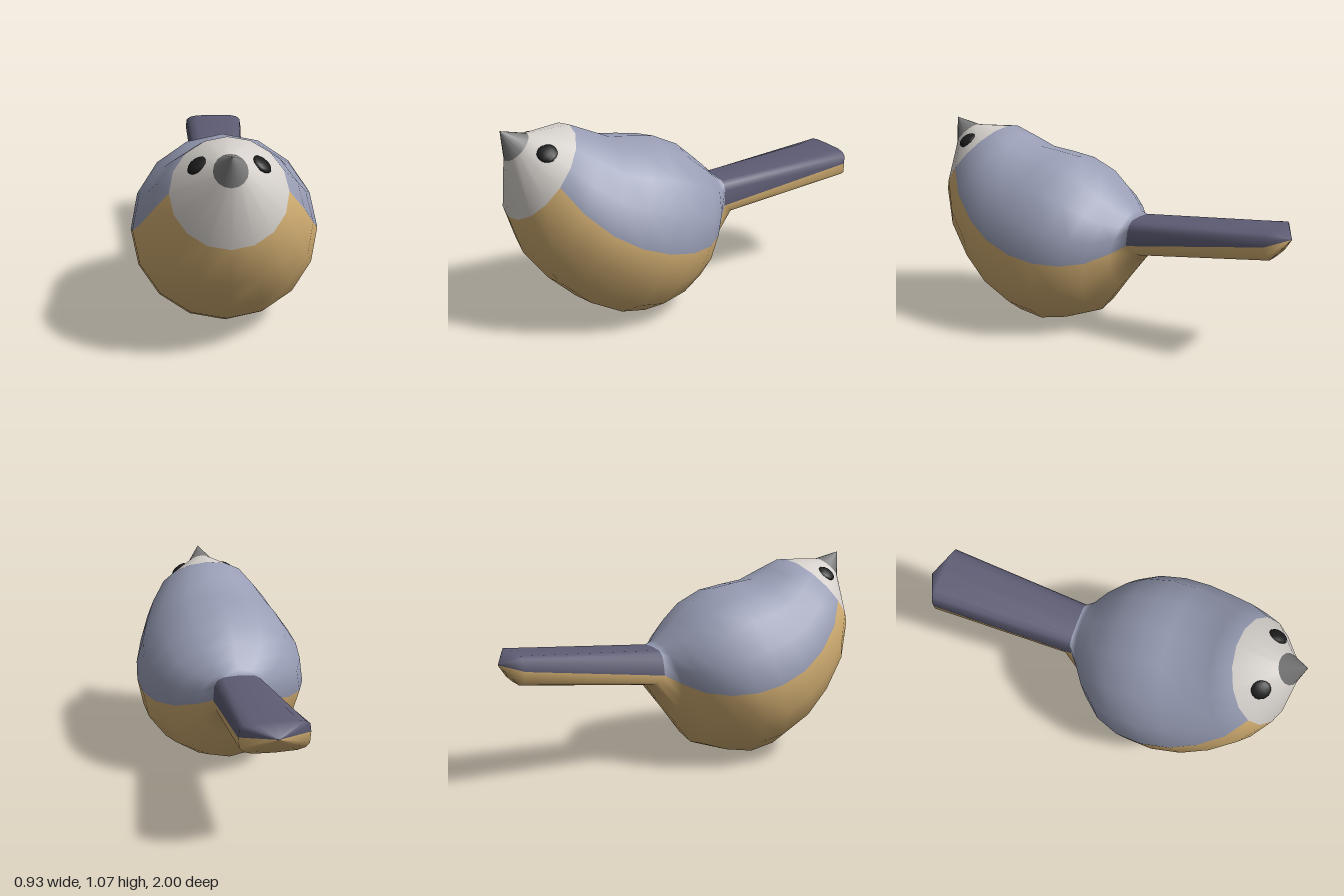
import * as THREE from 'three';

const SIDES = 16;

// Tilted cross-section: [z, y] of its top, side and bottom points, half width,
// and roundness (1 = ellipse, smaller = boxier).
const section = (top, side, bottom, halfWidth, power = 1) => ({ top, side, bottom, halfWidth, power });
const point = (z, y) => section([z, y], [z, y], [z, y], 0);

const beakBase = section([0.865, 1.035], [0.925, 0.975], [0.985, 0.92], 0.077);

// Body and tail, from beak base to tail tip
const bodySections = [
  beakBase,
  section([0.65, 1.045], [0.82, 0.84], [0.99, 0.635], 0.268),
  section([0.55, 1.0], [0.74, 0.72], [0.925, 0.43], 0.35),
  section([0.44, 0.95], [0.62, 0.605], [0.8, 0.26], 0.41),
  section([0.32, 0.935], [0.49, 0.525], [0.66, 0.125], 0.45),
  section([0.195, 0.915], [0.345, 0.47], [0.49, 0.03], 0.465),
  section([0.06, 0.85], [0.21, 0.44], [0.355, 0.002], 0.45),
  section([-0.03, 0.77], [0.085, 0.43], [0.205, 0.03], 0.4),
  section([-0.1, 0.705], [-0.015, 0.435], [0.06, 0.08], 0.31),
  section([-0.145, 0.66], [-0.1, 0.47], [-0.08, 0.26], 0.2),
  section([-0.17, 0.635], [-0.16, 0.505], [-0.22, 0.45], 0.132, 0.5),
  section([-0.93, 0.685], [-0.92, 0.618], [-0.93, 0.535], 0.168, 0.5),
  point(-1, 0.625),
];
const FACE_END = 1, TAIL_START = 10, TAIL_END = 12;

// Quads between two rings, over a range of steps around (0..8 upper half, 8..16 lower half)
function bandIndex(ring0, ring1, step0, step1) {
  const index = [];
  for (let i = ring0; i < ring1; i++) {
    for (let j = step0; j < step1; j++) {
      const k = (j + 1) % SIDES;
      const a = i * SIDES + j, b = i * SIDES + k;
      index.push(a, a + SIDES, b, b, a + SIDES, b + SIDES);
    }
  }
  return index;
}

function loft(sections) {
  const positions = [];
  for (const s of sections) {
    for (let j = 0; j < SIDES; j++) {
      const angle = (j / SIDES) * Math.PI * 2;
      const c = Math.cos(angle), n = j % (SIDES / 2) === 0 ? 0 : Math.sin(angle);
      const end = n >= 0 ? s.top : s.bottom;
      const t = Math.abs(n) ** s.power;
      const x = s.halfWidth * Math.sign(c) * Math.abs(c) ** s.power;
      positions.push(
        x,
        s.side[1] + (end[1] - s.side[1]) * t,
        s.side[0] + (end[0] - s.side[0]) * t,
      );
    }
  }
  const geometry = new THREE.BufferGeometry();
  geometry.setAttribute('position', new THREE.Float32BufferAttribute(positions, 3));
  geometry.setIndex(bandIndex(0, sections.length - 1, 0, SIDES));
  geometry.computeVertexNormals();
  return geometry;
}

export function createModel() {
  const group = new THREE.Group();
  group.name = 'bird';

  const material = (name, color) => {
    const m = new THREE.MeshStandardMaterial({ color });
    m.name = name;
    return m;
  };
  const blue = material('greyBlueFeathers', 0x999eb6);
  const tan = material('tanFeathers', 0xd2ae72);
  const white = material('paleFace', 0xd6d1cc);
  const slate = material('slateTail', 0x5d5c74);
  const grey = material('greyBeak', 0x7a7a7a);
  const black = material('blackEye', 0x1c1c1c);

  const add = (name, geometry, mat) => {
    const mesh = new THREE.Mesh(geometry, mat);
    mesh.name = name;
    group.add(mesh);
    return mesh;
  };

  // Coloured regions share the smooth normals of one skin
  const skin = loft(bodySections);
  const half = SIDES / 2;
  const region = (name, mat, ...range) => {
    const geometry = skin.clone();
    geometry.setIndex(bandIndex(...range));
    add(name, geometry, mat);
  };
  region('face', white, 0, FACE_END, 0, SIDES);
  region('back', blue, FACE_END, TAIL_START, 0, half);
  region('belly', tan, FACE_END, TAIL_START, half, SIDES);
  region('tailTop', slate, TAIL_START, TAIL_END, 0, half);
  region('tailUnderside', tan, TAIL_START, TAIL_END, half, SIDES);

  // Beak
  add('beak', loft([point(1, 1.067), beakBase]), grey);

  // Eyes: flattened domes lying on the face
  for (const [name, side] of [['leftEye', 1], ['rightEye', -1]]) {
    const eye = add(name, new THREE.SphereGeometry(0.05, 10, 8), black);
    eye.scale.set(1, 1, 0.4);
    eye.position.set(side * 0.143, 0.97, 0.825);
    eye.quaternion.setFromUnitVectors(
      new THREE.Vector3(0, 0, 1),
      new THREE.Vector3(side * 0.576, 0.79, 0.21).normalize(),
    );
  }

  return group;
}
